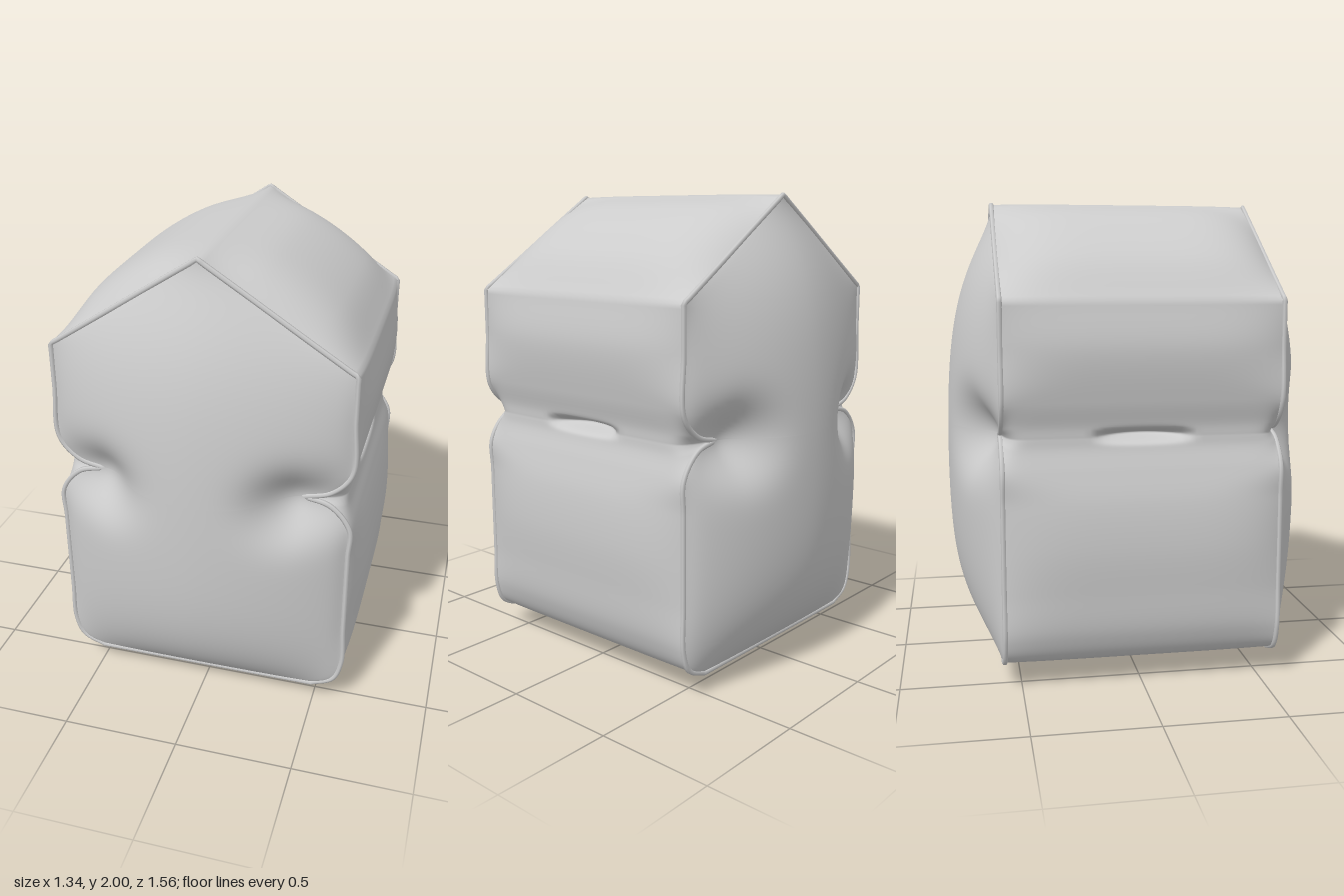
import * as THREE from 'three';

const D = 0.57; // half depth at the seams
const W = 0.62; // half width of the walls
const FLOOR = 0.085, APEX = 1.99, EAVES = 1.59, WAIST = 1.045, TIP = 0.43;
// Right half of the seam outline
const SEAM = [
  [0, FLOOR], [0.25, FLOOR], [0.49, FLOOR],
  [0.585, 0.13], [W, 0.22], [W, 0.4], [W, 0.6], [W, 0.78],
  [W, 0.915], [0.54, 1.015], [TIP, WAIST],
  [0.54, 1.078], [W, 1.17], [W, 1.4], [W, EAVES],
  [0.413, 1.723], [0.207, 1.857], [0, APEX],
];
// Matching outline of the puffed shell halfway between the seams
const MID = [
  [0, 0.04], [0.25, 0.055], [0.47, 0.08],
  [0.575, 0.12], [0.635, 0.23], [0.66, 0.42], [0.672, 0.6], [0.66, 0.78],
  [0.63, 0.91], [0.604, 1.0], [0.6, WAIST],
  [0.604, 1.09], [0.63, 1.19], [0.66, 1.4], [0.632, EAVES],
  [0.5, 1.77], [0.25, 1.935], [0, 1.995],
];
const BREAKS = [0, 2, 10, 14, 17]; // corners that stay sharp
const STEPS = 10;

// Smooth each run between sharp corners and sample it evenly
function sample(points) {
  const out = [];
  for (let b = 0; b < BREAKS.length - 1; b++) {
    const run = points.slice(BREAKS[b], BREAKS[b + 1] + 1).map(([x, y]) => new THREE.Vector3(x, y, 0));
    const pts = new THREE.CatmullRomCurve3(run).getPoints((run.length - 1) * STEPS);
    out.push(...(b ? pts.slice(1) : pts));
  }
  return out;
}

// Surface from a rule giving a point for each grid cell corner
function grid(ni, nj, rule, flip = false) {
  const pos = [], index = [];
  for (let i = 0; i <= ni; i++) for (let j = 0; j <= nj; j++) pos.push(...rule(i, j));
  for (let i = 0; i < ni; i++) for (let j = 0; j < nj; j++) {
    const a = i * (nj + 1) + j, b = a + nj + 1;
    if (flip) index.push(a, b + 1, b, a, a + 1, b + 1);
    else index.push(a, b, b + 1, a, b + 1, a + 1);
  }
  const g = new THREE.BufferGeometry();
  g.setAttribute('position', new THREE.Float32BufferAttribute(pos, 3));
  g.setIndex(index);
  g.computeVertexNormals();
  return g;
}

const bell = (t, width) => Math.exp(-((t / width) ** 2));
const rise = (t, width) => 1 - Math.exp(-Math.max(0, t) / width);

// How far a panel puffs out: full in the middle, fading to walls, floor, roof edges and waist pinches
function puff(x, y) {
  const slope = ((APEX - EAVES) / W) * x;
  const across = Math.pow(Math.max(0, 1 - Math.pow(Math.abs(x) / W, 1.8)), 0.78);
  const roof = rise(APEX - slope - y, 0.23) * rise(APEX + slope - y, 0.23);
  const pinch = 1 - bell(Math.max(0, TIP - Math.abs(x)), 0.15) * bell(y - WAIST, 0.14);
  return 0.218 * across * roof * rise(y - FLOOR, 0.19) * pinch;
}

export function createModel() {
  const group = new THREE.Group();
  const material = new THREE.MeshStandardMaterial({ color: 0xcccccc, side: THREE.DoubleSide });
  const add = (geometry, name) => {
    const mesh = new THREE.Mesh(geometry, material);
    mesh.name = name;
    group.add(mesh);
  };
  const seam = sample(SEAM), mid = sample(MID), n = seam.length - 1;

  // Wrapped shell: floor, walls pinched only near the seams, arched roof
  const nz = 56;
  add(grid(2 * n, nz, (i, j) => {
    const side = i <= n ? 1 : -1, k = i <= n ? i : 2 * n - i;
    const z = -D * Math.cos((Math.PI * j) / nz);
    const power = 5 + 20 * bell(seam[k].y - WAIST, 0.12);
    const p = seam[k].clone().lerp(mid[k], 1 - Math.pow(Math.abs(z / D), power));
    // two soft lobes under the floor
    if (k <= 2 * STEPS) {
      const lobe = bell(Math.abs(z) - 0.38, 0.2) * (1 - (z / D) ** 8);
      p.y -= 0.046 * lobe * Math.max(0, 1 - (p.x / 0.5) ** 2) ** 2;
    }
    // narrow pocket at the waist of each wall
    p.x -= 0.1 * Math.max(0, 1 - (z / 0.2) ** 2) * bell(p.y - 1.05, 0.02);
    return [side * p.x, p.y, z];
  }), 'shell');

  // Puffed front and back panels
  const first = 2 * STEPS, nu = 56;
  for (const s of [1, -1]) {
    add(grid(n - first, nu, (i, j) => {
      const p = seam[first + i];
      const u = -Math.cos((Math.PI * j) / nu), x = u * p.x;
      return [x, p.y, s * (D + puff(x, p.y) * (1 - u ** 40))];
    }, s > 0), s > 0 ? 'frontPanel' : 'backPanel');
  }

  // Thin stitched edge along both panel outlines
  const loop = [...seam, ...seam.slice(1, -1).reverse().map((p) => new THREE.Vector3(-p.x, p.y, 0))];
  for (const s of [1, -1]) {
    const path = new THREE.CatmullRomCurve3(loop.map((p) => new THREE.Vector3(p.x, p.y, s * D)), true);
    add(new THREE.TubeGeometry(path, 360, 0.011, 6, true), s > 0 ? 'frontSeam' : 'backSeam');
  }
  return group;
}
